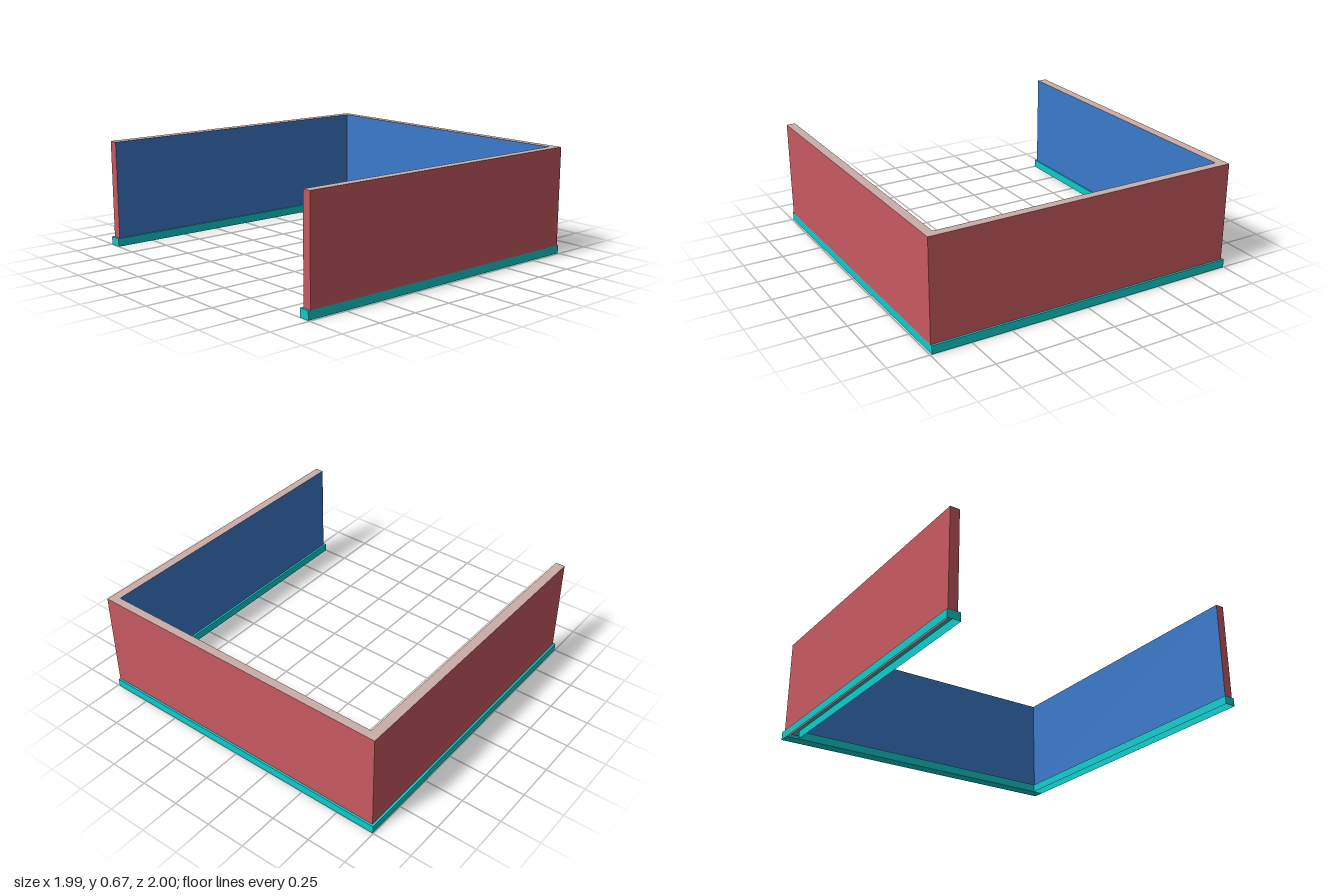
import * as THREE from 'three';

const mat = (name, color) =>
  new THREE.MeshStandardMaterial({ name, color, side: THREE.DoubleSide });

// Closed U outline as [x, z]: outer edges 0-2, end 3, inner edges 4-6, end 7
const outline = (xl, xr, back, front, ixl, ixr, iback) => [
  [xr, front], [xr, back], [xl, back], [xl, front],
  [ixl, front], [ixl, iback], [ixr, iback], [ixr, front],
];

// Vertical panels standing on the chosen edges of an outline
function panels(pts, edges, y0, y1) {
  const pos = [];
  for (const i of edges) {
    const [px, pz] = pts[i], [qx, qz] = pts[(i + 1) % pts.length];
    pos.push(px, y0, pz, qx, y0, qz, qx, y1, qz, px, y0, pz, qx, y1, qz, px, y1, pz);
  }
  const g = new THREE.BufferGeometry();
  g.setAttribute('position', new THREE.Float32BufferAttribute(pos, 3));
  g.computeVertexNormals();
  return g;
}

// Flat horizontal cap over an outline
function cap(pts, y) {
  const shape = new THREE.Shape(pts.map(([x, z]) => new THREE.Vector2(x, -z)));
  return new THREE.ShapeGeometry(shape).rotateX(-Math.PI / 2).translate(0, y, 0);
}

export function createModel() {
  const group = new THREE.Group();
  const red = mat('outer wall red', 0xc85a60);
  const blue = mat('inner wall blue', 0x3a7acb);
  const teal = mat('baseboard teal', 0x0fcccc);
  const beige = mat('wall top beige', 0xccada8);
  const add = (name, geometry, material) => {
    const m = new THREE.Mesh(geometry, material);
    m.name = name;
    group.add(m);
  };

  const H = 0.67, B = 0.052;
  const wall = outline(-0.985, 0.99, -0.987, 0.986, -0.925, 0.935, -0.935);
  const base = outline(-0.997, 0.99, -1, 1, -0.915, 0.922, -0.922);

  // Walls: red outside and ends, blue inside, beige top
  add('outerWalls', panels(wall, [0, 1, 2, 3, 7], B, H), red);
  add('innerWalls', panels(wall, [4, 5, 6], B, H), blue);
  add('wallTop', cap(wall, H), beige);
  // The right wall's outer face runs down behind its baseboard
  add('rightWallFoot', panels(wall, [2], 0, B), red);

  // Baseboard: hollow under the side walls, closed under the back wall
  add('baseboardSides', panels(base, [0, 1, 2, 3, 4, 5, 6, 7], 0, B), teal);
  add('baseboardLedge', cap(base, B), teal);
  const bottom = new THREE.PlaneGeometry(1.987, 0.078).rotateX(Math.PI / 2);
  add('backBaseboardBottom', bottom.translate(-0.0035, 0, -0.961), teal);

  return group;
}
